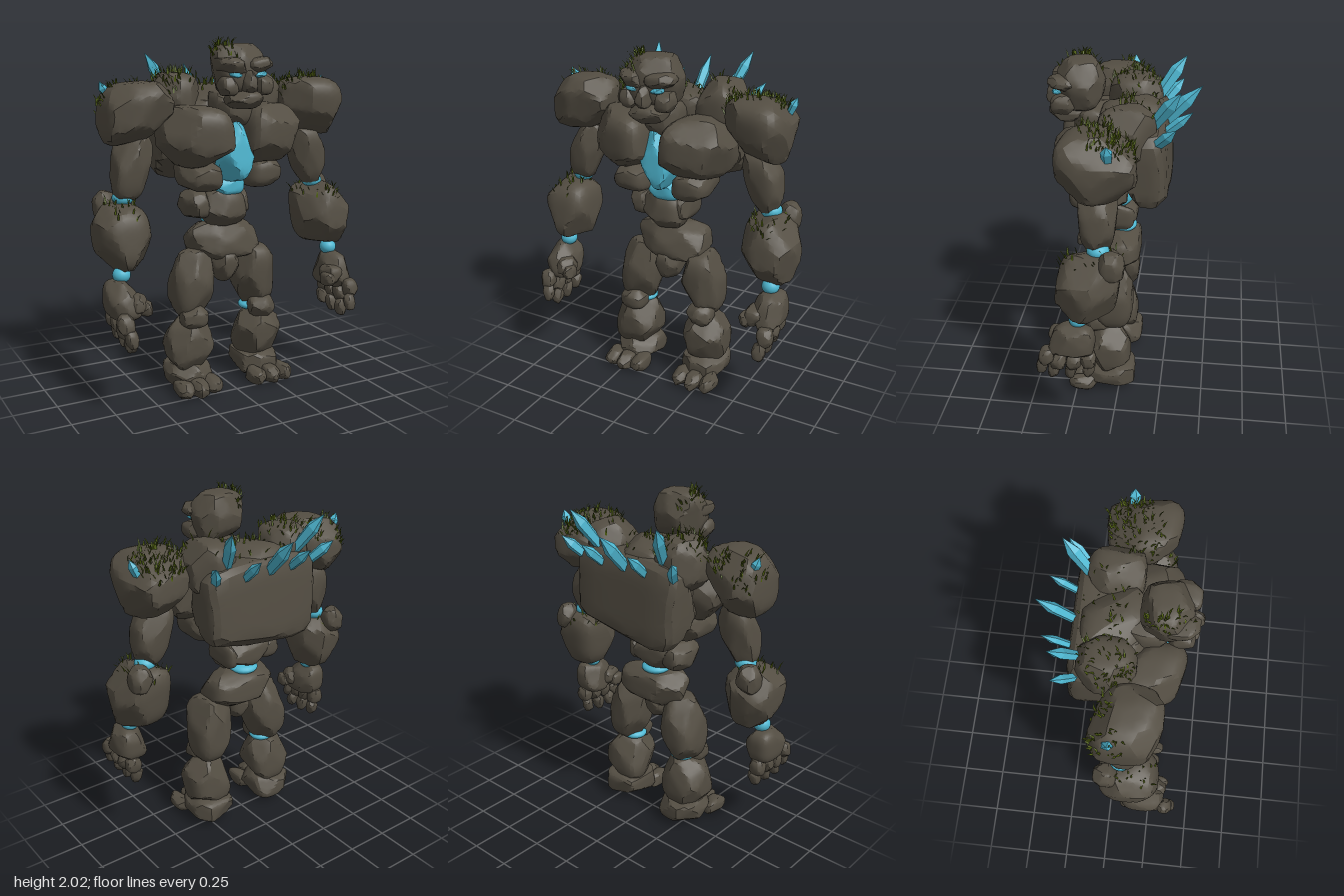
import * as THREE from 'three';
import { mergeGeometries, toCreasedNormals } from 'three/addons/utils/BufferGeometryUtils.js';

export function createModel() {
  const golem = new THREE.Group();
  golem.name = 'stoneGolem';
  const stone = new THREE.MeshStandardMaterial({ color: 0x544e43 });
  stone.name = 'stone';
  const crystal = new THREE.MeshStandardMaterial({ color: 0x4fb8d2 });
  crystal.name = 'crystal';
  const moss = new THREE.MeshStandardMaterial({ color: 0x4f5f10, side: THREE.DoubleSide });
  moss.name = 'moss';

  let seed = 11;
  const rand = () => {
    seed = (seed * 16807) % 2147483647;
    return seed / 2147483647;
  };
  const range = (a, b) => a + (b - a) * rand();

  // Chiselled boulder: a rounded block cut by random planes, then fitted to a box
  function rock(name, x, y, z, o = {}) {
    const { taper = 0, flare = 0, lean = 0, leanZ = 0, slope = 0, skew = 0 } = o;
    const { power = 3.4, cuts = 16, detail = 6, mat = stone } = o;
    const planes = [];
    for (let i = 0; i < cuts; i++) {
      const n = new THREE.Vector3(range(-1, 1), range(-1, 1), range(-1, 1)).normalize();
      planes.push([n, range(0.92, 1.08)]);
    }
    const geo = new THREE.IcosahedronGeometry(1, detail);
    geo.deleteAttribute('uv');
    const pos = geo.attributes.position;
    const v = new THREE.Vector3();
    for (let i = 0; i < pos.count; i++) {
      v.fromBufferAttribute(pos, i).normalize();
      let r = Math.pow(Math.abs(v.x) ** power + Math.abs(v.y) ** power + Math.abs(v.z) ** power, -1 / power);
      for (const [n, d] of planes) {
        const c = n.dot(v);
        if (c > 0.05) r = Math.min(r, d / c);
      }
      v.multiplyScalar(r);
      const s = 1 + taper * v.y, f = 1 + flare * v.x;
      pos.setXYZ(i, v.x * s + lean * v.y, v.y * f + slope * v.x, v.z * s * f + leanZ * v.y + skew * v.x);
    }
    geo.computeBoundingBox();
    const b = geo.boundingBox;
    const sx = (x[1] - x[0]) / (b.max.x - b.min.x);
    const sy = (y[1] - y[0]) / (b.max.y - b.min.y);
    const sz = (z[1] - z[0]) / (b.max.z - b.min.z);
    geo.translate(-b.min.x, -b.min.y, -b.min.z).scale(sx, sy, sz).translate(x[0], y[0], z[0]);
    const mesh = new THREE.Mesh(toCreasedNormals(geo, 0.4), mat);
    mesh.name = name;
    golem.add(mesh);
    return mesh;
  }

  // Boulder on one side of the body; s = 1 is left, -1 is right
  function sideRock(s, name, x, y, z, o = {}) {
    const xs = s > 0 ? x : [-x[1], -x[0]];
    const flip = {};
    for (const key of ['lean', 'slope', 'skew', 'flare']) flip[key] = (o[key] || 0) * s;
    return rock((s > 0 ? 'left' : 'right') + name, xs, y, z, { ...o, ...flip });
  }

  function joint(name, x, y, z, r, h = r) {
    const mesh = new THREE.Mesh(new THREE.SphereGeometry(r, 20, 14), crystal);
    mesh.name = name;
    mesh.position.set(x, y, z);
    mesh.scale.y = h / r;
    golem.add(mesh);
  }

  // Flattened five-sided shard running from base to tip
  function shard(name, base, tip, r) {
    const a = new THREE.Vector3(...base), dir = new THREE.Vector3(...tip).sub(a);
    const len = dir.length();
    const body = new THREE.CylinderGeometry(r, r * 0.75, len * 0.68, 5).translate(0, len * 0.34, 0);
    const point = new THREE.ConeGeometry(r, len * 0.32, 5, 1, true).translate(0, len * 0.84, 0);
    const geo = mergeGeometries([body, point]).toNonIndexed().scale(0.75, 1, 1);
    geo.computeVertexNormals();
    const mesh = new THREE.Mesh(geo, crystal);
    mesh.name = name;
    mesh.position.copy(a);
    mesh.quaternion.setFromUnitVectors(new THREE.Vector3(0, 1, 0), dir.normalize());
    golem.add(mesh);
  }

  // Moss blades scattered over the upward faces of a boulder
  function grass(name, target, count, inside) {
    const p = target.geometry.attributes.position;
    const out = [];
    const [a, b, c, n] = [0, 1, 2, 3].map(() => new THREE.Vector3());
    const up = new THREE.Vector3(0, 1, 0);
    for (let tries = 0, done = 0; tries < 20000 && done < count; tries++) {
      const t = Math.floor(rand() * p.count / 3) * 3;
      a.fromBufferAttribute(p, t);
      b.fromBufferAttribute(p, t + 1).sub(a);
      c.fromBufferAttribute(p, t + 2).sub(a);
      n.crossVectors(b, c).normalize();
      a.addScaledVector(b, rand() * 0.5).addScaledVector(c, rand() * 0.5);
      if (n.y < 0.15 || !inside(a)) continue;
      const turn = range(0, Math.PI * 2), h = range(0.018, 0.042), w = 0.0055;
      const side = new THREE.Vector3(Math.cos(turn) * w, 0, Math.sin(turn) * w);
      const bend = new THREE.Vector3(-side.z, 0, side.x).multiplyScalar(range(2, 6));
      const mid = a.clone().addScaledVector(up, h * 0.6).addScaledVector(n, h * 0.2).addScaledVector(bend, 0.4);
      const tip = a.clone().addScaledVector(up, h).addScaledVector(n, h * 0.3).add(bend);
      const l = a.clone().sub(side), r = a.clone().add(side);
      const ml = mid.clone().addScaledVector(side, -0.8), mr = mid.clone().addScaledVector(side, 0.8);
      for (const q of [l, r, mr, l, mr, ml, ml, mr, tip]) out.push(q.x, q.y, q.z);
      done++;
    }
    const geo = new THREE.BufferGeometry();
    geo.setAttribute('position', new THREE.Float32BufferAttribute(out, 3));
    geo.computeVertexNormals();
    const mesh = new THREE.Mesh(geo, moss);
    mesh.name = name;
    golem.add(mesh);
  }

  // Head
  const skull = rock('skull', [-0.15, 0.15], [1.71, 1.985], [0.1, 0.37], { taper: 0.05, leanZ: -0.08, power: 3.4 });
  rock('jaw', [-0.1, 0.09], [1.64, 1.74], [0.2, 0.41]);
  rock('nose', [-0.038, 0.04], [1.73, 1.845], [0.3, 0.425], { taper: -0.15, detail: 4 });
  rock('neck', [-0.12, 0.12], [1.53, 1.74], [0.02, 0.27]);
  grass('headMoss', skull, 45, p => p.x < -0.06 && p.y > 1.87);

  // Torso
  rock('ribcage', [-0.3, 0.3], [1.24, 1.68], [-0.18, 0.2]);
  rock('backSlab', [-0.35, 0.37], [1.205, 1.71], [-0.268, 0.02], { taper: 0.03, leanZ: 0.12, power: 6, cuts: 9 });
  const nape = rock('nape', [-0.2, 0.2], [1.45, 1.76], [-0.22, 0.13], { power: 4, leanZ: 0.08 });
  rock('chestCore', [-0.1, 0.1], [1.23, 1.57], [0.0, 0.3], { taper: -0.15, leanZ: 0.08, power: 5, cuts: 12, mat: crystal });
  rock('waistCore', [-0.115, 0.1], [1.13, 1.29], [-0.06, 0.2], { mat: crystal });
  rock('belly', [-0.16, 0.11], [0.96, 1.18], [-0.04, 0.21], { taper: -0.1 });
  rock('lumbar', [-0.18, 0.13], [1.0, 1.165], [-0.08, 0.08]);
  joint('hipCore', -0.02, 0.982, 0.01, 0.085, 0.035);
  rock('pelvis', [-0.22, 0.215], [0.76, 0.98], [-0.1, 0.18], { taper: -0.05, power: 4 });
  rock('loinPlate', [-0.085, 0.075], [0.63, 0.82], [-0.02, 0.19], { taper: 0.12 });
  grass('napeMoss', nape, 40, p => p.z < 0.02 && p.y > 1.66);

  // Crystal spines across the upper back
  shard('middleSpine', [-0.01, 1.58, -0.17], [-0.01, 1.855, -0.425], 0.04);

  for (const s of [1, -1]) {
    const side = s > 0 ? 'left' : 'right';

    // Face
    sideRock(s, 'Brow', [0.0, 0.158], [1.825, 1.915], [0.22, 0.4], { slope: 0.2, detail: 5, power: 4 });
    sideRock(s, 'Cheek', [0.055, 0.155], [1.71, 1.815], [0.25, 0.385], { detail: 4 });
    sideRock(s, 'Eye', [0.036, 0.11], [1.805, 1.838], [0.33, 0.378], { slope: 0.4, detail: 3, mat: crystal });

    // Chest and waist
    sideRock(s, 'Pectoral', [0.045, 0.415], [1.32, 1.655], [-0.02, 0.365],
      { cuts: 18, lean: 0.08, skew: -0.25, power: 3.6 });
    sideRock(s, 'Rib', [0.075, 0.3], [1.18, 1.36], [-0.04, 0.28], { lean: 0.1 });
    sideRock(s, 'Flank', s > 0 ? [0.06, 0.135] : [0.1, 0.25], [1.01, 1.17], [-0.07, 0.17]);

    // Shoulder and arm
    const trap = sideRock(s, 'Trapezius', [0.12, 0.395], [1.52, 1.825], [-0.2, 0.11], { power: 3.2 });
    const shoulder = sideRock(s, 'Shoulder', [0.35, 0.72], [1.45, 1.79], s > 0 ? [-0.135, 0.28] : [-0.11, 0.27],
      { slope: s > 0 ? -0.13 : -0.2, leanZ: 0.08, lean: -0.05, flare: 0.14, skew: s > 0 ? 0 : -0.15, power: 3.4 });
    sideRock(s, 'UpperArm', [0.445, 0.67], [1.15, 1.5], [-0.03, 0.17], { lean: -0.3, taper: 0.15 });
    joint(side + 'ElbowJoint', s * 0.61, 1.167, 0.065, 0.06, 0.045);
    const forearm = sideRock(s, 'Forearm', s > 0 ? [0.48, 0.805] : [0.5, 0.79], s > 0 ? [0.79, 1.16] : [0.79, 1.14],
      [-0.055, 0.285], { lean: s > 0 ? -0.1 : 0.05, leanZ: -0.12, power: 3.6 });
    sideRock(s, 'ElbowStone', [0.63, 0.75], [1.04, 1.2], [-0.08, 0.05], { detail: 5 });
    joint(side + 'WristJoint', s * 0.668, 0.768, 0.17, 0.05, 0.045);

    // Hand
    sideRock(s, 'Palm', [0.59, 0.77], [0.54, 0.745], [0.08, 0.33], { taper: -0.12, lean: 0.08, leanZ: -0.12 });
    sideRock(s, 'ThumbBase', [0.57, 0.68], [0.57, 0.68], [0.2, 0.34], { detail: 4 });
    sideRock(s, 'ThumbTip', [0.55, 0.62], [0.565, 0.645], [0.25, 0.35], { detail: 4 });
    const fingers = [[0.345, 0.42, 0.03], [0.285, 0.375, 0.03], [0.2, 0.38, 0.02], [0.12, 0.395, 0.0]];
    fingers.forEach(([z, low, reach], i) => {
      const x = 0.685 + (i === 0 ? 0.02 : 0);
      sideRock(s, 'Knuckle' + i, [x - 0.035, x + 0.055], [low + 0.075, low + 0.18], [z - 0.05, z + 0.04],
        { detail: 3, leanZ: -0.2 });
      sideRock(s, 'Fingertip' + i, [x - 0.045, x + 0.025], [low, low + 0.1], [z - 0.04 + reach, z + 0.03 + reach],
        { detail: 3, leanZ: -0.2, taper: 0.1 });
    });

    // Leg
    sideRock(s, 'Thigh', [0.075, 0.32], [0.43, 0.83], [-0.075, 0.19], { lean: -0.12, leanZ: 0.05, taper: 0.06 });
    sideRock(s, 'KneeCap', [0.145, 0.3], [0.39, 0.515], [0.06, 0.21], { detail: 5 });
    joint(side + 'KneeJoint', s * 0.195, 0.445, 0.055, 0.075, 0.033);
    sideRock(s, 'Shin', [0.095, 0.36], [0.13, 0.44], [-0.065, 0.2], { leanZ: 0.05, power: 4 });
    sideRock(s, 'Heel', [0.1, 0.36], [0.02, 0.18], [-0.095, 0.2], { power: 4.2 });
    for (let i = 0; i < 3; i++) {
      const x = 0.1 + i * 0.088;
      sideRock(s, 'Toe' + i, [x, x + 0.092], [0.008, 0.102], [0.13, 0.295 + (i === 1 ? 0.018 : 0)],
        { detail: 4, power: 4 });
    }

    // Crystals
    shard(side + 'InnerSpine', [s * 0.15, 1.59, -0.18], [s * 0.165, 1.77, -0.385], 0.03);
    shard(side + 'TallSpine', [s * 0.22, 1.67, -0.15], [s * 0.305, 1.925, -0.325], 0.04);
    shard(side + 'OuterSpine', [s * 0.3, 1.6, -0.17], [s * 0.395, 1.76, -0.31], 0.034);
    shard(side + 'ShoulderShard', [s * 0.65, 1.67, 0.005], [s * 0.705, 1.79, 0.005], 0.032);

    // Moss
    grass(side + 'TrapeziusMoss', trap, s > 0 ? 12 : 75, p => p.y > 1.7);
    grass(side + 'ShoulderMoss', shoulder, s > 0 ? 140 : 75, s > 0
      ? p => p.y > 1.63 && p.x < 0.66 && p.z < 0.26 - 0.5 * (p.x - 0.35)
      : p => p.y > 1.6 && p.z < 0.08 && (p.x < -0.61 || (p.x > -0.55 && p.z < 0.02)));
    grass(side + 'ForearmMoss', forearm, 35, p => p.y > 1.07 && Math.abs(p.x) < 0.74);
  }
  return golem;
}
